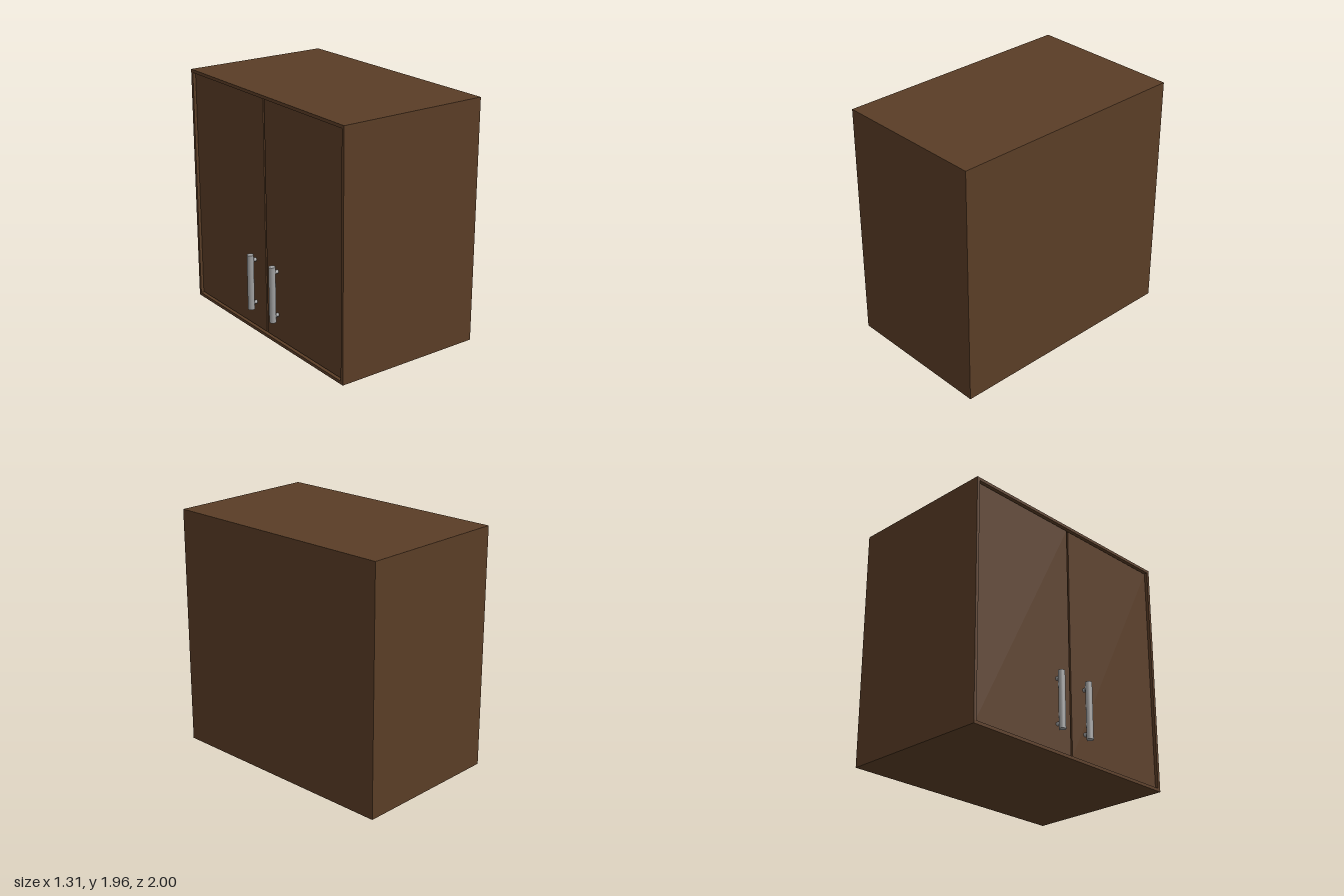
import * as THREE from 'three';

const wood = new THREE.MeshStandardMaterial({ color: 0x5a3d26 });
const metal = new THREE.MeshStandardMaterial({ color: 0xa0a0a0 });

// Box given by its min and max corners
function panel(name, min, max) {
  const size = max.map((v, i) => v - min[i]);
  const mesh = new THREE.Mesh(new THREE.BoxGeometry(...size), wood);
  mesh.position.set(...max.map((v, i) => (v + min[i]) / 2));
  mesh.name = name;
  return mesh;
}

function rod(name, radius, length) {
  const mesh = new THREE.Mesh(new THREE.CylinderGeometry(radius, radius, length, 12), metal);
  mesh.name = name;
  return mesh;
}

export function createModel() {
  const group = new THREE.Group();
  group.name = 'cabinet';

  const x0 = -0.6, x1 = 0.65, height = 1.955, halfWidth = 1;
  const t = 0.025;            // board thickness
  const doorX = x0 + 0.02;    // doors sit slightly inside the carcass
  const gap = 0.008;

  // Carcass, open on the -x side
  group.add(
    panel('topPanel', [x0, height - t, -halfWidth], [x1, height, halfWidth]),
    panel('bottomPanel', [x0, 0, -halfWidth], [x1, t, halfWidth]),
    panel('backPanel', [x1 - t, t, -halfWidth], [x1, height - t, halfWidth])
  );

  for (const s of [-1, 1]) {
    const side = s < 0 ? 'right' : 'left';
    const span = (a, b) => [Math.min(s * a, s * b), Math.max(s * a, s * b)];

    // Side wall
    const [w0, w1] = span(halfWidth - t, halfWidth);
    group.add(panel(side + 'Wall', [x0, t, w0], [x1 - t, height - t, w1]));

    // Inset door
    const [d0, d1] = span(gap, halfWidth - t - gap);
    group.add(panel(side + 'Door', [doorX, t + gap, d0], [doorX + t, height - t - gap, d1]));

    // Bar handle on two posts
    const handle = new THREE.Group();
    handle.name = side + 'Handle';
    const bar = rod('handleBar', 0.027, 0.46);
    bar.position.set(-0.63, 0.42, 0);
    handle.add(bar);
    for (const y of [0.24, 0.6]) {
      const post = rod('handlePost', 0.015, 0.055);
      post.rotation.z = Math.PI / 2;
      post.position.set(-0.6025, y, 0);
      handle.add(post);
    }
    handle.position.z = s * 0.15;
    group.add(handle);
  }
  return group;
}
